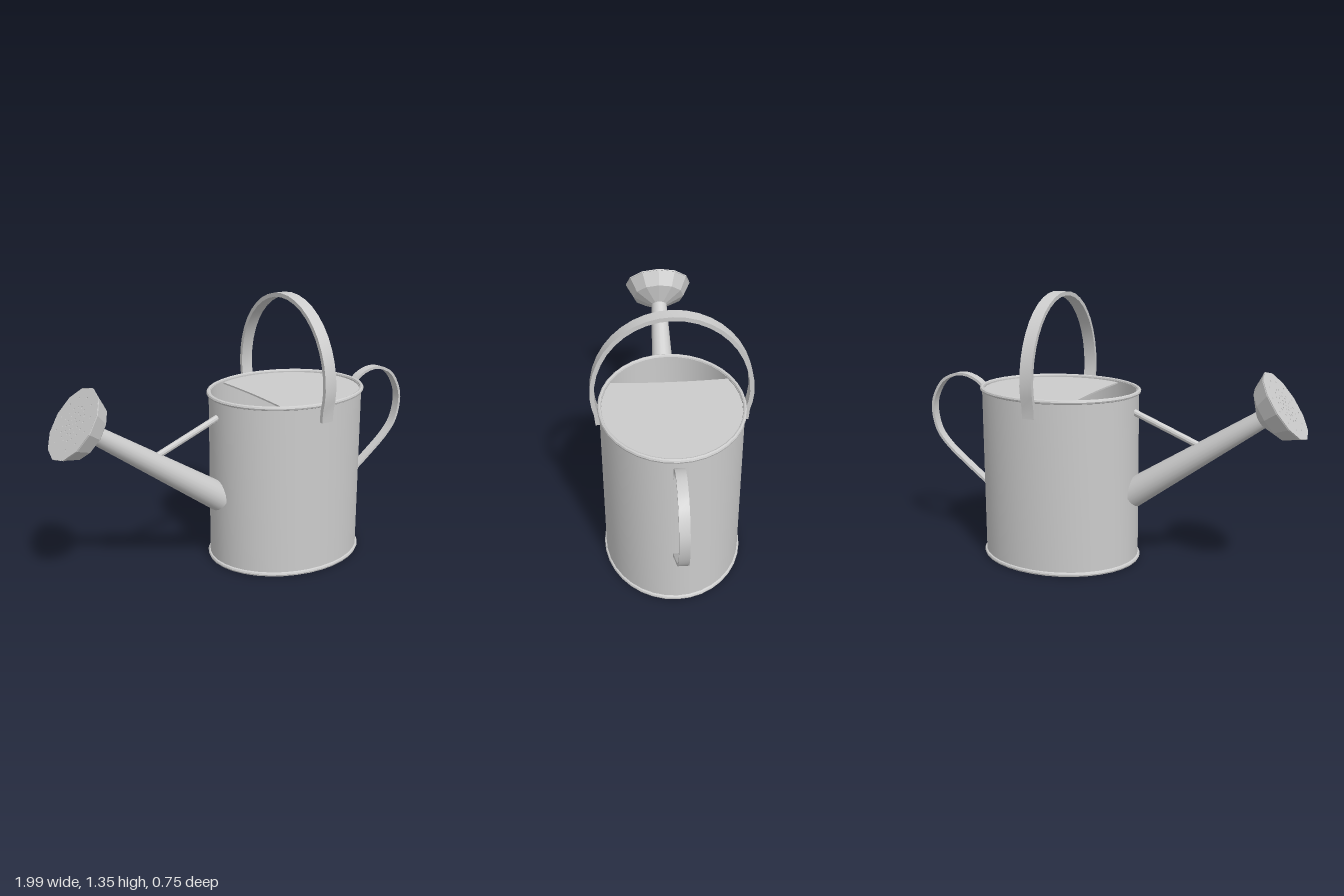
import * as THREE from 'three';
import { toCreasedNormals } from 'three/addons/utils/BufferGeometryUtils.js';

const CX = 0.24, RX = 0.405, DEPTH = 0.83; // oval body: centre, x radius, z ratio
const smooth = new THREE.MeshStandardMaterial({ color: 0xcccccc });
const faceted = new THREE.MeshStandardMaterial({ color: 0xcccccc, flatShading: true, side: THREE.DoubleSide });
const v2 = (p) => new THREE.Vector2(p[0], p[1]);

function part(parent, name, geometry, material = smooth) {
  const mesh = new THREE.Mesh(material === smooth ? toCreasedNormals(geometry, 0.6) : geometry, material);
  mesh.name = name;
  parent.add(mesh);
  return mesh;
}

// Flat strap: a centre line thickened in its plane and extruded to a width
function strap(points, thickness, width) {
  const sides = [[], []];
  points.forEach((p, i) => {
    const a = points[Math.max(i - 1, 0)], b = points[Math.min(i + 1, points.length - 1)];
    const dx = b[0] - a[0], dy = b[1] - a[1], k = thickness / 2 / Math.hypot(dx, dy);
    sides[0].push(new THREE.Vector2(p[0] - dy * k, p[1] + dx * k));
    sides[1].unshift(new THREE.Vector2(p[0] + dy * k, p[1] - dx * k));
  });
  const shape = new THREE.Shape([...sides[0], ...sides[1]]);
  return new THREE.ExtrudeGeometry(shape, { depth: width, bevelEnabled: false }).translate(0, 0, -width / 2);
}

function rod(from, to, r0, r1, sides) {
  const a = new THREE.Vector3(...from), d = new THREE.Vector3(...to).sub(a);
  const g = new THREE.CylinderGeometry(r1, r0, d.length(), sides);
  g.applyQuaternion(new THREE.Quaternion().setFromUnitVectors(new THREE.Vector3(0, 1, 0), d.clone().normalize()));
  return g.translate(a.x + d.x / 2, a.y + d.y / 2, a.z + d.z / 2);
}

export function createModel() {
  const model = new THREE.Group();
  model.name = 'wateringCan';

  // Hollow oval body
  const wall = [[0, 0.004], [RX, 0.004], [RX, 0.87], [RX - 0.012, 0.87], [RX - 0.012, 0.02], [0, 0.02]];
  part(model, 'body', new THREE.LatheGeometry(wall.map(v2), 36).scale(1, 1, DEPTH).translate(CX, 0, 0));

  // Rolled beads around the top and bottom
  for (const [name, y] of [['topRim', 0.868], ['bottomRim', 0.011]]) {
    const bead = new THREE.TorusGeometry(RX, 0.011, 8, 36).rotateX(Math.PI / 2);
    part(model, name, bead.scale(1, 1, DEPTH).translate(CX, y, 0));
  }

  // Partial lid, leaving an opening on the spout side
  const lid = new THREE.Shape();
  const edge = Math.acos(-0.2 / RX), r = RX - 0.006;
  for (let i = 0; i <= 24; i++) {
    const a = -edge + (2 * edge * i) / 24;
    const x = CX + r * Math.cos(a), y = r * DEPTH * Math.sin(a);
    i ? lid.lineTo(x, y) : lid.moveTo(x, y);
  }
  lid.quadraticCurveTo(0.065, 0, CX + r * Math.cos(edge), -r * DEPTH * Math.sin(edge));
  part(model, 'lid', new THREE.ExtrudeGeometry(lid, { depth: 0.008, bevelEnabled: false })
    .rotateX(-Math.PI / 2).translate(0, 0.855, 0));

  // Carrying handle arching over the top
  const arch = [[0.346, 0.785], [0.35, 0.84], [0.361, 0.89]];
  for (let i = 0; i <= 20; i++) {
    const a = (Math.PI * i) / 20;
    arch.push([0.366 * Math.cos(a), 0.94 + 0.4 * Math.sin(a)]);
  }
  arch.push([-0.361, 0.89], [-0.35, 0.84], [-0.346, 0.785]);
  part(model, 'carryHandle', strap(arch, 0.02, 0.062).rotateY(Math.PI / 2).translate(0.235, 0, 0));

  // Looped pouring handle
  const loop = new THREE.CatmullRomCurve3([
    [0.652, 0.765], [0.655, 0.805], [0.7, 0.868], [0.8, 0.903], [0.91, 0.868], [0.975, 0.77], [0.986, 0.69],
    [0.96, 0.585], [0.9, 0.51], [0.78, 0.412], [0.68, 0.335], [0.656, 0.31], [0.652, 0.275],
  ].map(([x, y]) => new THREE.Vector3(x, y, 0)));
  part(model, 'pouringHandle', strap(loop.getPoints(40).map((p) => [p.x, p.y]), 0.014, 0.046));

  // Tapered spout and its brace
  part(model, 'spout', rod([-0.15, 0.365, 0], [-0.8, 0.81, 0], 0.072, 0.042, 20));
  part(model, 'spoutBrace', rod([-0.5, 0.643, 0], [-0.16, 0.78, 0], 0.016, 0.016, 10));

  // Sprinkler rose: faceted cup closed by a perforated plate
  const rose = new THREE.Group();
  rose.name = 'rose';
  rose.position.set(-0.895, 0.875, 0);
  rose.rotation.z = Math.atan2(0.82, 0.575);
  model.add(rose);
  const cup = [[0.04, -0.135], [0.14, -0.08], [0.18, 0]];
  part(rose, 'roseCup', new THREE.LatheGeometry(cup.map(v2), 12), faceted);

  const ring = (radius, n) => Array.from({ length: n }, (_, i) => {
    const a = (2 * Math.PI * i) / n;
    return new THREE.Vector2(radius * Math.cos(a), radius * Math.sin(a));
  });
  const plate = new THREE.Shape(ring(0.179, 12));
  for (const [radius, n] of [[0, 1], [0.025, 6], [0.052, 12], [0.082, 16], [0.13, 12]]) {
    for (const c of ring(radius, n)) plate.holes.push(new THREE.Path(ring(0.005, 6).map((p) => p.add(c))));
  }
  part(rose, 'rosePlate', new THREE.ExtrudeGeometry(plate, { depth: 0.006, bevelEnabled: false })
    .rotateX(-Math.PI / 2).translate(0, -0.006, 0), faceted);

  return model;
}
